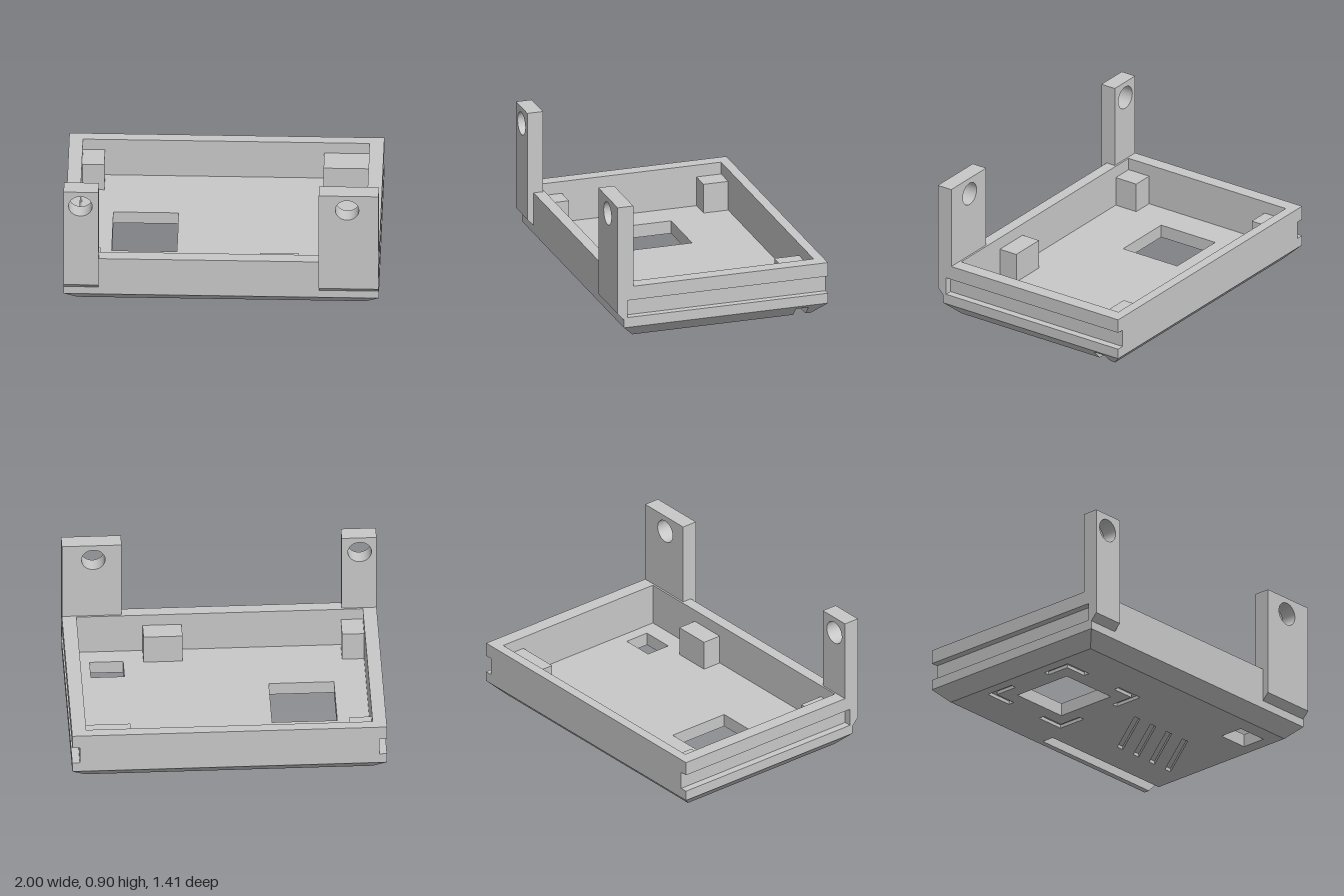
import * as THREE from 'three';

const CH = 0.085;                                   // chamfer height = floor thickness
const X = 1, ZB = -0.705, ZF = 0.663;               // outer tray
const TAB_Z = 0.705;                                // front face of the tabs
const rect = (x0, x1, z0, z1) => [[x0, z0], [x0, z1], [x1, z1], [x1, z0]];

// Plan-view [x, z] outline (counter-clockwise from above) with holes, extruded from y0 to y1
function slab(outline, holes, y0, y1) {
  const toPts = (pts) => pts.map(([x, z]) => new THREE.Vector2(x, -z));
  const shape = new THREE.Shape(toPts(outline));
  holes.forEach((h) => shape.holes.push(new THREE.Path(toPts(h))));
  const geo = new THREE.ExtrudeGeometry(shape, { depth: y1 - y0, bevelEnabled: false });
  return geo.rotateX(-Math.PI / 2).translate(0, y0, 0);
}

// Floor layer whose outer edge flares outward at 45 degrees
function flaredSlab(holes, y0, y1, notched) {
  const d = CH - y0, x = X - d, zb = ZB + d, zf = ZF - d, e = 1e-4;
  const notch = notched ? [[x, -0.5], [-0.085, -0.5], [-0.085, -0.583], [x, -0.583]] : [];
  const geo = slab([[x, zb], [-x, zb], [-x, zf], [x, zf], ...notch], holes, y0, y1);
  const p = geo.attributes.position, grow = y1 - y0;
  for (let i = 0; i < p.count; i++) {
    if (p.getY(i) < y1 - e) continue;
    const px = p.getX(i), pz = p.getZ(i);
    if (Math.abs(px) > x - e) p.setX(i, px + Math.sign(px) * grow);
    if (pz > zf - e) p.setZ(i, pz + grow);
    if (pz < zb + e) p.setZ(i, pz - grow);
  }
  geo.computeVertexNormals();
  return geo;
}

export function createModel() {
  const group = new THREE.Group();
  const grey = new THREE.MeshStandardMaterial({ color: 0xc8c8c8 });
  grey.name = 'light grey plastic';
  const add = (name, geo) => {
    const mesh = new THREE.Mesh(geo, grey);
    mesh.name = name;
    group.add(mesh);
  };

  // Floor: through windows, engraved slanted vents and corner brackets, cable channel
  const windows = [rect(-0.708, -0.294, -0.235, 0.187), rect(0.617, 0.83, 0.31, 0.475)];
  const engraved = [];
  for (let i = 0; i < 4; i++) {
    const s = -0.15 * i;
    engraved.push([[0.745 + s, -0.29], [0.795 + s, -0.29], [0.53 + s, 0.098], [0.48 + s, 0.098]]);
  }
  const cx = -0.501, cz = -0.024, half = 0.342, arm = 0.2, w = 0.04;
  for (const sx of [-1, 1]) for (const sz of [-1, 1]) {
    const at = (a, b) => [cx + sx * (half - a), cz + sz * (half - b)];
    engraved.push([at(0, 0), at(arm, 0), at(arm, w), at(w, w), at(w, arm), at(0, arm)]);
  }
  add('floorUnderside', flaredSlab([...windows, ...engraved], 0, 0.022, true));
  add('floorMiddle', flaredSlab(windows, 0.022, 0.063, true));
  add('floorTop', flaredSlab(windows, 0.063, CH, false));

  // Walls, with a rail groove along both sides that is open at the back
  const cavity = [rect(-0.912, 0.908, -0.64, 0.588)];
  const full = rect(-X, X, ZB, ZF), g = X - 0.048, gz = 0.64;
  const grooved = [[-g, ZB], [-g, gz], [-X, gz], [-X, ZF], [X, ZF], [X, gz], [g, gz], [g, ZB]];
  add('lowerWall', slab(full, cavity, CH, 0.152));
  add('groovedWall', slab(grooved, cavity, 0.152, 0.268));
  add('upperWall', slab(full, cavity, 0.268, 0.36));

  // Supports standing on the floor
  const posts = [
    ['backRightPost', -0.912, -0.772, -0.64, -0.475],
    ['backLeftPost', 0.62, 0.908, -0.64, -0.475],
    ['frontRightPost', -0.912, -0.772, 0.428, 0.588],
    ['frontBlock', 0.24, 0.488, 0.46, 0.588],
  ];
  for (const [name, x0, x1, z0, z1] of posts) add(name, slab(rect(x0, x1, z0, z1), [], CH, 0.28));

  // Mounting tabs: drilled upper plate and a chamfered foot on the front wall
  for (const [name, x0, x1, hx] of [['rightTab', -1, -0.778, -0.893], ['leftTab', 0.62, 1, 0.8]]) {
    const plate = new THREE.Shape([[x0, 0.36], [x1, 0.36], [x1, 0.905], [x0, 0.905]]
      .map(([x, y]) => new THREE.Vector2(x, y)));
    plate.holes.push(new THREE.Path().absarc(hx, 0.795, 0.075, 0, Math.PI * 2, true));
    const plateGeo = new THREE.ExtrudeGeometry(plate, { depth: TAB_Z - 0.6, bevelEnabled: false, curveSegments: 32 });
    add(name + 'Plate', plateGeo.translate(0, 0, 0.6));

    const foot = new THREE.Shape([[ZF, 0.139], [TAB_Z, 0.184], [TAB_Z, 0.36], [ZF, 0.36]]
      .map(([z, y]) => new THREE.Vector2(-z, y)));
    const footGeo = new THREE.ExtrudeGeometry(foot, { depth: x1 - x0, bevelEnabled: false });
    add(name + 'Foot', footGeo.rotateY(Math.PI / 2).translate(x0, 0, 0));
  }
  return group;
}
